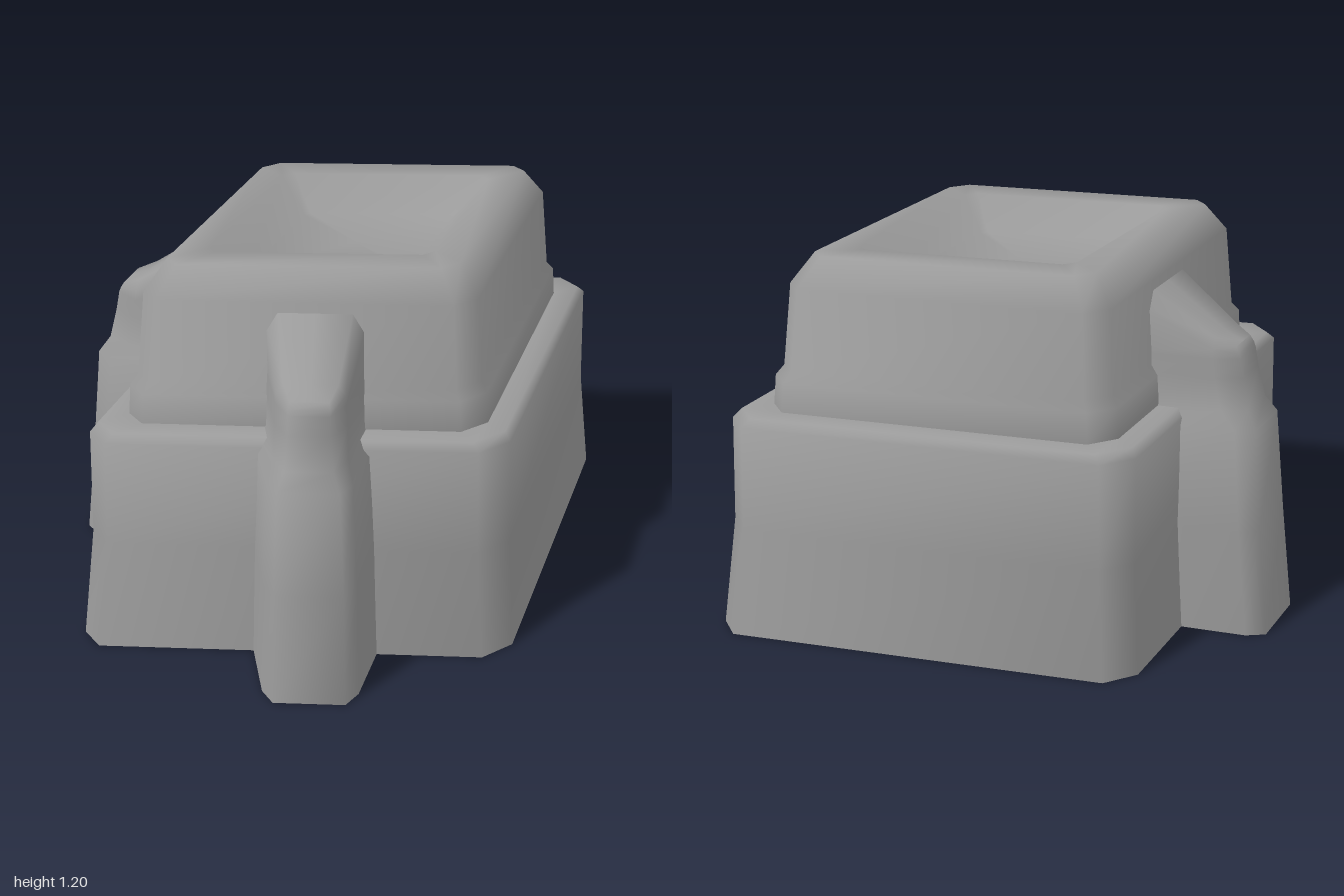
import * as THREE from 'three';
import { toCreasedNormals } from 'three/addons/utils/BufferGeometryUtils.js';

const material = new THREE.MeshStandardMaterial({ color: 0x9b9b9b, side: THREE.DoubleSide });

// Skin between successive rows of points; each row runs from +x towards +z
function loft(rows, closed) {
  const n = rows[0].length;
  const index = [];
  for (let r = 0; r < rows.length - 1; r++) {
    for (let i = 0; i < (closed ? n : n - 1); i++) {
      const k = (i + 1) % n;
      const a = r * n + i, b = r * n + k, c = a + n, d = b + n;
      index.push(a, c, b, b, c, d);
    }
  }
  const geometry = new THREE.BufferGeometry();
  geometry.setAttribute('position', new THREE.Float32BufferAttribute(rows.flat(2), 3));
  geometry.setIndex(index);
  return toCreasedNormals(geometry, 1.15);
}

// Diamond outline with its four tips cut off
function diamond([y, x, z, cut = 1]) {
  const cx = 0.06 * cut, cz = 0.045 * cut;
  return [
    [x, y, cz], [cx, y, z], [-cx, y, z], [-x, y, cz],
    [-x, y, -cz], [-cx, y, -z], [cx, y, -z], [x, y, -cz],
  ];
}

// Complete a half outline with its mirror image
const mirrored = (half) => [...half, ...half.map(([x, y, z]) => [-x, y, z]).reverse()];

// Open U-shaped outline: inner ends, shoulders and outer face
function channel([y, outer, flat, drop, shoulder, innerHalf]) {
  return mirrored([
    [innerHalf, y, 0.43],
    [shoulder, y, outer - drop],
    [flat, y, outer],
  ]);
}

function buttressGeometry() {
  const rows = [
    [0, 0.9, 0.108, 0.055, 0.145, 0.24],
    [0.35, 0.855, 0.102, 0.055, 0.138, 0.222],
    [0.68, 0.82, 0.09, 0.055, 0.125, 0.205],
    [0.73, 0.785, 0.07, 0.075, 0.108, 0.165],
    [0.83, 0.76, 0.062, 0.075, 0.105, 0.16],
    [0.89, 0.748, 0.06, 0.075, 0.102, 0.155],
  ].map(channel);
  // Sloping roof: side edges, bevel, then the closing centre line
  const roof = [
    [[0.148, 1.04, 0.45], [0.1, 0.92, 0.67], [0.06, 0.905, 0.742]],
    [[0.113, 1.095, 0.45], [0.078, 0.95, 0.67], [0.056, 0.925, 0.73]],
    [[0, 1.095, 0.45], [0, 0.95, 0.67], [0, 0.925, 0.73]],
  ].map(mirrored);
  return loft([...rows, ...roof], false);
}

export function createModel() {
  const model = new THREE.Group();
  model.name = 'steppedBlock';

  // Hollow stepped body with a dished top: height, x reach, z reach, tip cut
  const body = new THREE.Mesh(loft([
    [0, 1, 0.77],
    [0.36, 0.945, 0.73],
    [0.7, 0.93, 0.715],
    [0.725, 0.9, 0.69],
    [0.725, 0.8, 0.62, 0.85],
    [0.82, 0.79, 0.608, 0.85],
    [0.85, 0.762, 0.586, 0.8],
    [1.11, 0.73, 0.562, 0.75],
    [1.2, 0.65, 0.485, 0.6],
    [1.2, 0.51, 0.38, 0.4],
    [1.1, 0.38, 0.275, 0.2],
    [1.1, 0, 0, 0],
  ].map(diamond), true), material);
  body.name = 'body';
  model.add(body);

  // Mirrored buttresses on the two faces at the -x side
  const geometry = buttressGeometry();
  for (const side of [1, -1]) {
    const holder = new THREE.Group();
    holder.name = side > 0 ? 'frontButtress' : 'backButtress';
    holder.rotation.y = side > 0 ? -0.657 : Math.PI + 0.657;
    const buttress = new THREE.Mesh(geometry, material);
    buttress.name = 'buttressShell';
    buttress.position.x = -0.092 * side;
    holder.add(buttress);
    model.add(holder);
  }
  return model;
}
